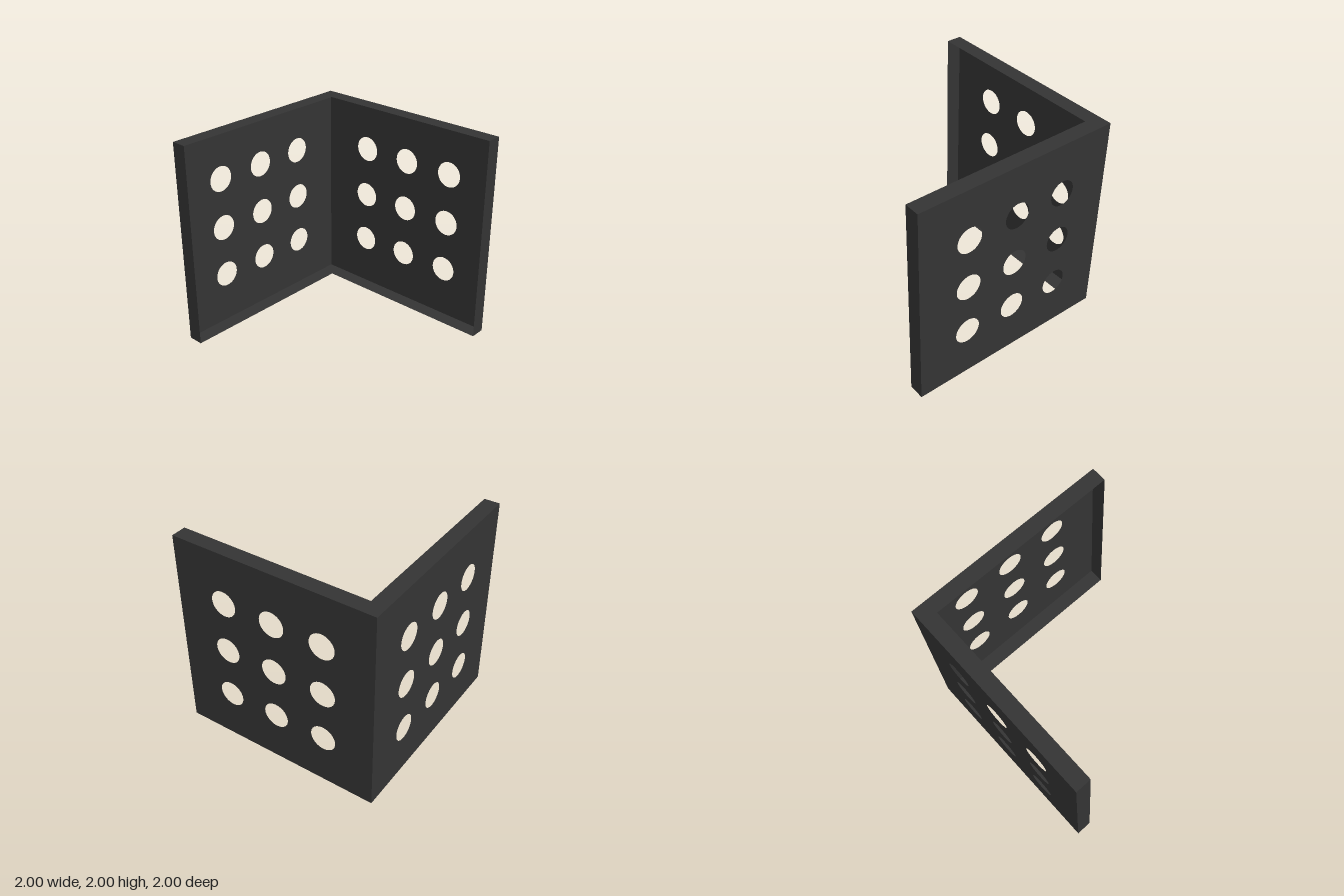
import * as THREE from 'three';

const FLANGE = 0.148; // width of the folded edges
const HOLE = 0.125;   // hole radius

export function createModel() {
  const group = new THREE.Group();
  const metal = new THREE.MeshStandardMaterial({ color: 0x343434, side: THREE.DoubleSide });
  metal.name = 'dark metal';

  const add = (name, geometry, x, y, z) => {
    const mesh = new THREE.Mesh(geometry, metal);
    mesh.name = name;
    mesh.position.set(x, y, z);
    group.add(mesh);
  };

  // Square sheet with a 3 x 3 grid of round holes
  const sheet = new THREE.Shape([[-1, -1], [1, -1], [1, 1], [-1, 1]].map(p => new THREE.Vector2(...p)));
  for (const x of [-0.5, 0, 0.5]) {
    for (const y of [-0.5, 0, 0.5]) {
      sheet.holes.push(new THREE.Path().absarc(x, y, HOLE, 0, Math.PI * 2, true));
    }
  }
  const panel = () => new THREE.ShapeGeometry(sheet, 48);
  add('backPanel', panel().rotateY(Math.PI), 0, 1, -1);
  add('sidePanel', panel().rotateY(-Math.PI / 2), -1, 1, 0);

  // L-shaped folded edges along the top and bottom
  const inner = -1 + FLANGE;
  const corner = new THREE.Shape(
    [[-1, -1], [inner, -1], [inner, -inner], [1, -inner], [1, 1], [-1, 1]].map(p => new THREE.Vector2(...p))
  );
  const lip = () => new THREE.ShapeGeometry(corner).rotateX(-Math.PI / 2);
  add('topFlange', lip(), 0, 2, 0);
  add('bottomFlange', lip(), 0, 0, 0);

  // Folded edges at the free ends of both panels
  const strip = () => new THREE.PlaneGeometry(FLANGE, 2);
  add('sideEndFlange', strip(), -1 + FLANGE / 2, 1, 1);
  add('backEndFlange', strip().rotateY(Math.PI / 2), 1, 1, -1 + FLANGE / 2);

  return group;
}
